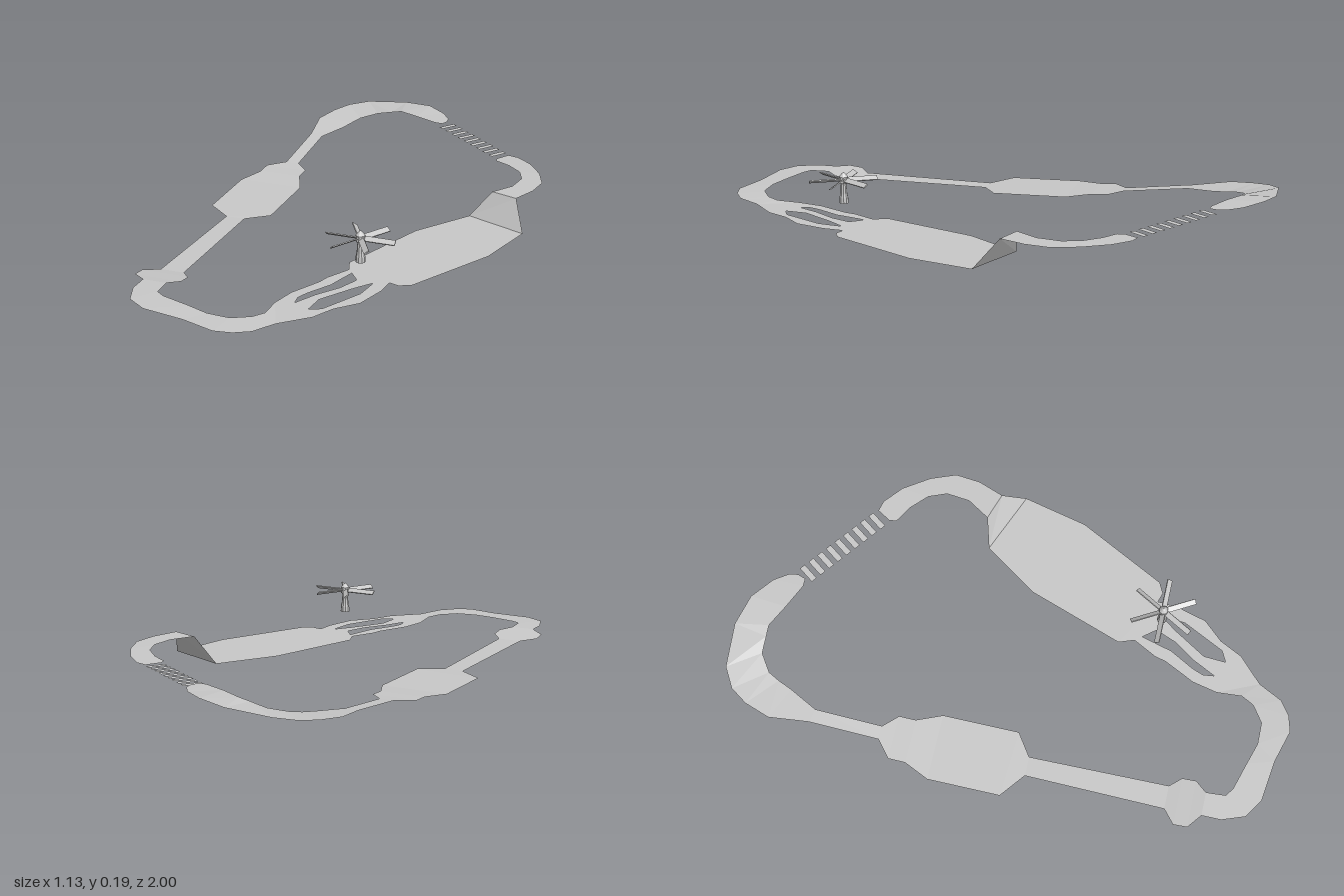
import * as THREE from 'three';

const grey = new THREE.MeshStandardMaterial({ color: 0xc8c8c8, side: THREE.DoubleSide });
grey.name = 'plain grey';

function add(group, geometry, name) {
  const flat = geometry.index ? geometry.toNonIndexed() : geometry;
  flat.computeVertexNormals();
  const mesh = new THREE.Mesh(flat, grey);
  mesh.name = name;
  group.add(mesh);
  return mesh;
}

// Ribbon of road; each row is [edge A x, z, edge B x, z, height A, height B]
function ribbon(rows) {
  const pos = [], index = [];
  rows.forEach(([ax, az, bx, bz, ya, yb = ya], i) => {
    pos.push(ax, ya, az, bx, yb, bz);
    if (i) {
      const k = i * 2;
      index.push(k - 2, k, k - 1, k - 1, k, k + 1);
    }
  });
  const g = new THREE.BufferGeometry();
  g.setAttribute('position', new THREE.Float32BufferAttribute(pos, 3));
  g.setIndex(index);
  return g;
}

// Flat road plate outlined by [x, z] points, with optional cut-outs
function plate(points, holes = [], y = 0.001) {
  const v = (list) => list.map(([x, z]) => new THREE.Vector2(x, -z));
  const shape = new THREE.Shape(v(points));
  holes.forEach((h) => shape.holes.push(new THREE.Path(v(h))));
  return new THREE.ShapeGeometry(shape).rotateX(-Math.PI / 2).translate(0, y, 0);
}

export function createModel() {
  const track = new THREE.Group();
  track.name = 'raceTrack';

  // Raised, banked back bend
  add(track, ribbon([
    [0.04, -0.83, 0.03, -0.8, 0.113], [0.035, -0.86, 0, -0.8, 0.114],
    [0, -0.91, -0.09, -0.84, 0.116, 0.115], [-0.08, -0.97, -0.17, -0.88, 0.12, 0.113],
    [-0.19, -1, -0.21, -0.88, 0.112, 0.105], [-0.35, -0.99, -0.27, -0.88, 0.1, 0.092],
    [-0.42, -0.95, -0.33, -0.84, 0.09, 0.078], [-0.46, -0.89, -0.35, -0.8, 0.082, 0.07],
    [-0.49, -0.8, -0.37, -0.75, 0.073, 0.063], [-0.47, -0.66, -0.42, -0.65, 0.055, 0.053],
    [-0.47, -0.41, -0.42, -0.41, 0.025],
  ]), 'backBend');

  // Long side straight with its two widened areas
  add(track, ribbon([
    [-0.47, -0.41, -0.42, -0.41, 0.025], [-0.53, -0.36, -0.37, -0.36, 0.021],
    [-0.53, -0.3, -0.37, -0.3, 0.018], [-0.57, -0.21, -0.33, -0.21, 0.011],
    [-0.57, 0.05, -0.33, 0.065, 0.005], [-0.48, 0.12, -0.41, 0.12, 0.002],
    [-0.49, 0.62, -0.405, 0.62, 0.003], [-0.54, 0.66, -0.37, 0.66, 0.009],
    [-0.54, 0.71, -0.37, 0.71, 0.015], [-0.49, 0.75, -0.405, 0.75, 0.021],
  ]), 'sideStraight');

  // Low front bend
  add(track, ribbon([
    [-0.49, 0.75, -0.405, 0.75, 0.021], [-0.49, 0.82, -0.4, 0.82, 0.021],
    [-0.46, 0.9, -0.37, 0.84, 0.02], [-0.39, 0.945, -0.27, 0.87, 0.018],
    [-0.24, 0.965, -0.19, 0.895, 0.014], [-0.12, 1, -0.11, 0.895, 0.011],
    [-0.06, 0.985, -0.05, 0.855, 0.008], [-0.01, 0.95, -0.025, 0.81, 0.005],
    [0.035, 0.865, -0.03, 0.72, 0.001],
  ]), 'frontBend');

  // Three-way split lanes
  add(track, plate([
    [0.035, 0.865], [0.125, 0.78], [0.165, 0.7], [0.23, 0.63], [0.26, 0.52], [0.265, 0.444],
    [0.1, 0.395], [0.055, 0.48], [0.045, 0.52], [-0.01, 0.63], [-0.03, 0.72],
  ], [
    [[0.03, 0.7], [0.07, 0.62], [0.125, 0.54], [0.155, 0.465], [0.12, 0.42],
      [0.1, 0.49], [0.09, 0.53], [0.04, 0.62], [0.025, 0.66]],
    [[0.09, 0.73], [0.13, 0.71], [0.16, 0.65], [0.205, 0.56], [0.215, 0.47],
      [0.17, 0.53], [0.095, 0.65]],
  ]), 'splitLanes');

  // Wide flat area and the steep ramp behind it
  add(track, plate([
    [0.08, 0.34], [0.1, 0.395], [0.3, 0.46], [0.34, 0.44], [0.505, 0.125],
    [0.56, -0.107], [0.335, -0.198], [0.2, 0],
  ]), 'wideArea');
  add(track, ribbon([
    [0.56, -0.107, 0.335, -0.198, 0.001], [0.51, -0.188, 0.412, -0.22, 0.097],
  ]), 'ramp');

  // Raised bend after the ramp
  add(track, ribbon([
    [0.51, -0.188, 0.412, -0.22, 0.097], [0.545, -0.28, 0.463, -0.3, 0.096],
    [0.555, -0.37, 0.473, -0.385, 0.095], [0.52, -0.46, 0.447, -0.45, 0.094],
    [0.46, -0.55, 0.39, -0.505, 0.092], [0.395, -0.605, 0.33, -0.54, 0.09],
    [0.355, -0.615, 0.325, -0.565, 0.09],
  ]), 'rampBend');

  // Bridge of loose planks
  const planks = 9;
  for (let i = 0; i < planks; i++) {
    const t = i / (planks - 1);
    const g = new THREE.PlaneGeometry(0.022, 0.068).rotateX(-Math.PI / 2).rotateY(-0.63);
    add(track, g, 'bridgePlank').position.set(
      0.055 + t * 0.258, 0.106 - t * 0.015, -0.797 + t * 0.187);
  }

  // Floating windmill with six flat blades
  const mill = new THREE.Group();
  mill.name = 'windmill';
  mill.position.set(0.172, 0, 0.475);
  track.add(mill);
  const profile = [[0, 0.075], [0.017, 0.075], [0.016, 0.095], [0.013, 0.108], [0.01, 0.145],
    [0.016, 0.148], [0.016, 0.17], [0.008, 0.18], [0, 0.187]];
  add(mill, new THREE.LatheGeometry(profile.map(([r, y]) => new THREE.Vector2(r, y)), 10), 'post');
  for (let i = 0; i < 6; i++) {
    const blade = new THREE.BoxGeometry(0.11, 0.004, 0.02)
      .rotateX(0.6).translate(0.066, 0.159, 0).rotateY((i * Math.PI) / 3);
    add(mill, blade, 'blade');
  }
  return track;
}
